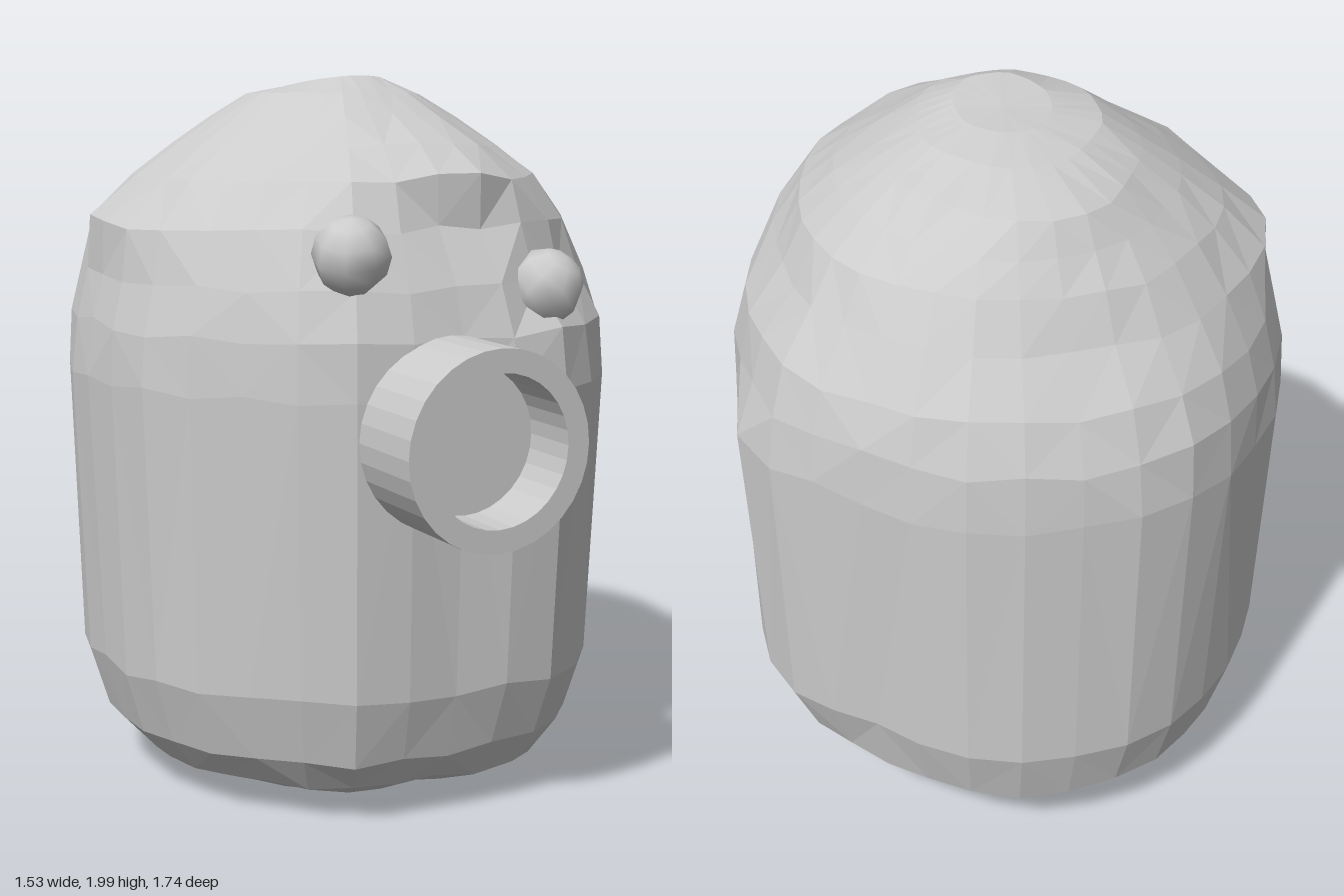
import * as THREE from 'three';

const SEGMENTS = 32;
const CENTRE = { x: -0.01, z: -0.11 };

// Body outline radii, every 22.5 degrees from +x towards +z
const OUTLINE = [0.735, 0.74, 0.78, 0.81, 0.745, 0.79, 0.755, 0.775,
  0.755, 0.775, 0.765, 0.78, 0.755, 0.75, 0.722, 0.75];

// Height and relative radius of each ring, bottom to top
const RINGS = [[0.01, 0], [0.01, 0.2], [0.02, 0.4], [0.04, 0.6], [0.1, 0.77],
  [0.2, 0.89], [0.38, 0.965], [1.19, 1], [1.34, 0.985], [1.47, 0.94], [1.61, 0.86],
  [1.73, 0.74], [1.81, 0.6], [1.88, 0.45], [1.935, 0.3], [1.965, 0.15], [1.975, 0]];

// Local dents and bulges: angle (degrees), height, angular and vertical reach, push out, push up
const BUMPS = [
  [180, 1.63, 28, 0.08, 0.06, 0],
  [270, 1.87, 35, 0.06, 0.11, 0.01],
  [270, 1.63, 35, 0.1, -0.06, 0],
  [270, 1.47, 35, 0.06, -0.015, 0],
  [350, 1.62, 35, 0.1, -0.045, 0],
  [85, 1.77, 18, 0.05, 0.1, 0.03],
  [90, 1.88, 30, 0.04, 0.01, 0.02],
  [82, 1.6, 25, 0.06, -0.05, 0],
  [62, 1.48, 16, 0.08, -0.06, 0],
  [180, 1.92, 60, 0.04, 0.025, 0.015],
  [90, 1.96, 70, 0.03, 0.04, 0.035],
  [348, 1.19, 12, 0.06, 0.035, 0],
  [350, 0.38, 18, 0.08, 0.03, -0.02],
  [275, 0.38, 30, 0.08, 0.025, 0],
  [270, 0.2, 30, 0.05, 0.035, 0],
  [90, 0.12, 60, 0.06, 0.03, 0],
  [270, 0.1, 50, 0.06, -0.03, 0],
];

function seeded(seed) {
  return () => {
    seed = (seed * 16807) % 2147483647;
    return seed / 2147483647 - 0.5;
  };
}

function outlineRadius(turn) {
  const t = turn * OUTLINE.length;
  const i = Math.floor(t);
  return THREE.MathUtils.lerp(OUTLINE[i % 16], OUTLINE[(i + 1) % 16], t - i);
}

function bodyGeometry() {
  const random = seeded(41);
  const points = RINGS.map(([ringY, scale]) => Array.from({ length: SEGMENTS }, (_, s) => {
    const turn = s / SEGMENTS;
    let radius = outlineRadius(turn) * scale;
    let y = ringY;
    if (scale > 0) {
      for (const [angle, height, spread, reach, out, up] of BUMPS) {
        const away = ((turn * 360 - angle + 540) % 360) - 180;
        const weight = Math.exp(-((away / spread) ** 2) - ((ringY - height) / reach) ** 2);
        radius += out * weight;
        y += up * weight;
      }
      radius += random() * 0.012 * scale;
      y += random() * 0.03 * scale ** 2;
    }
    const a = turn * Math.PI * 2;
    return new THREE.Vector3(CENTRE.x + Math.cos(a) * radius, y, CENTRE.z + Math.sin(a) * radius);
  }));

  // Split each quad along its shorter diagonal
  const corners = [];
  for (let r = 0; r < RINGS.length - 1; r++) {
    for (let s = 0; s < SEGMENTS; s++) {
      const next = (s + 1) % SEGMENTS;
      const [a, b, c, d] = [points[r][s], points[r][next], points[r + 1][s], points[r + 1][next]];
      if (r === 0) corners.push(a, c, d);
      else if (r === RINGS.length - 2) corners.push(a, c, b);
      else if (a.distanceTo(d) < b.distanceTo(c)) corners.push(a, d, b, a, c, d);
      else corners.push(a, c, b, b, c, d);
    }
  }
  const geometry = new THREE.BufferGeometry().setFromPoints(corners);
  geometry.computeVertexNormals();
  return geometry;
}

export function createModel() {
  const model = new THREE.Group();
  const material = new THREE.MeshStandardMaterial({ color: 0xcccccc });
  const flat = new THREE.MeshStandardMaterial({ color: 0xcccccc, flatShading: true });

  function add(name, geometry, mat, x = 0, y = 0, z = 0) {
    const mesh = new THREE.Mesh(geometry, mat);
    mesh.name = name;
    mesh.position.set(x, y, z);
    model.add(mesh);
    return mesh;
  }

  // Uneven, faceted domed body
  add('body', bodyGeometry(), flat);

  // Round hollow snout
  const ring = new THREE.Shape().absarc(0, 0, 0.26, 0, Math.PI * 2, false);
  ring.holes.push(new THREE.Path().absarc(0, 0, 0.198, 0, Math.PI * 2, true));
  const tube = new THREE.ExtrudeGeometry(ring, { depth: 0.4, bevelEnabled: false, curveSegments: 16 });
  add('snout', tube, flat, -0.045, 1.089, 0.475);
  add('snoutFloor', new THREE.CircleGeometry(0.2, 32), material, -0.045, 1.089, 0.7);

  // Mismatched bead eyes
  const eye = new THREE.SphereGeometry(0.103, 8, 6);
  add('rightEye', eye, material, -0.3, 1.56, 0.56).rotation.set(0.3, 0.2, 0.2);
  add('leftEye', eye, material, 0.285, 1.45, 0.55).rotation.set(0.5, -0.3, -0.3);

  return model;
}
